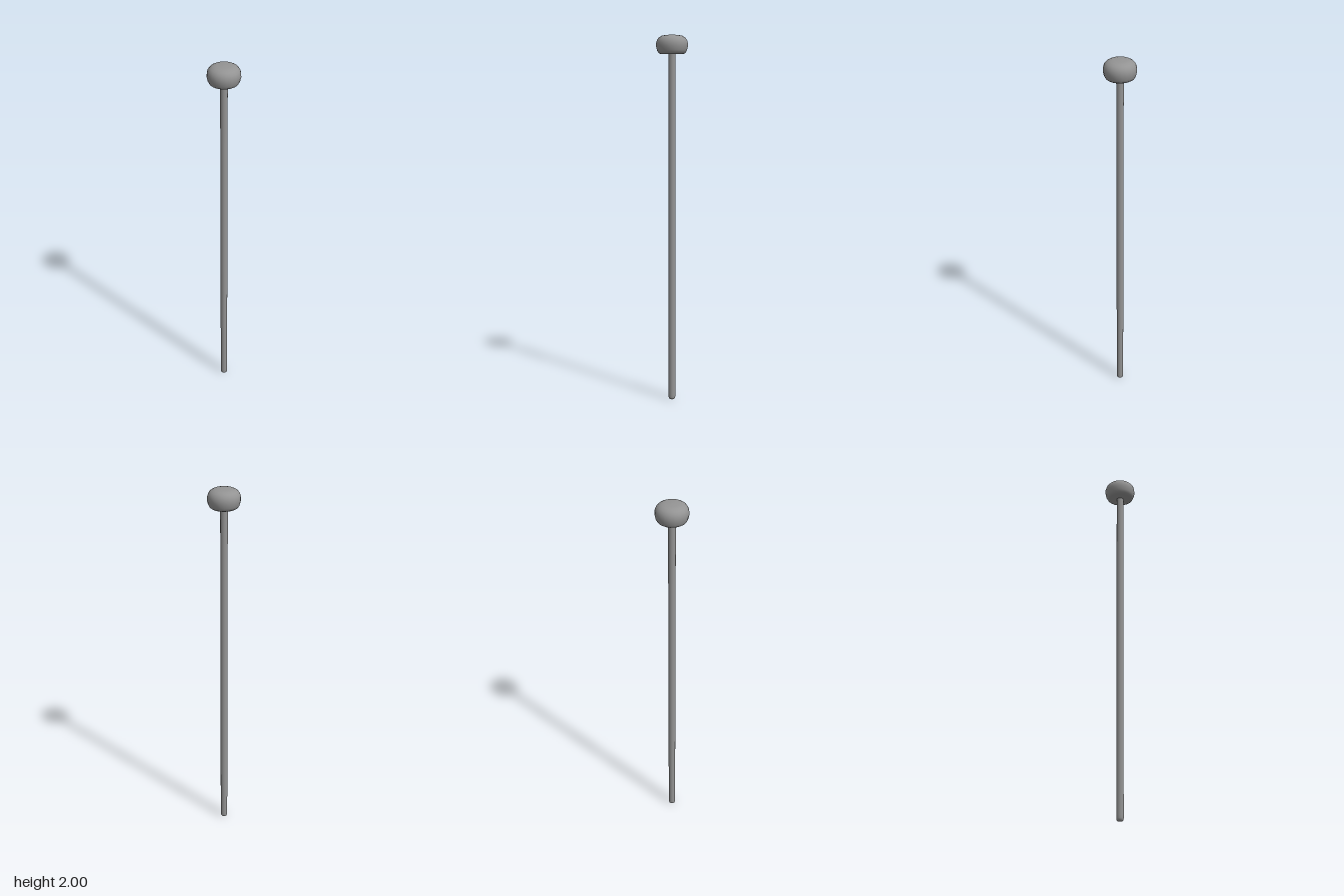
import * as THREE from 'three';

const material = new THREE.MeshStandardMaterial({ color: 0x949494 });

// Revolve a list of [radius, height] points around the y axis
function lathe(name, points, sides) {
  const profile = points.map(([r, y]) => new THREE.Vector2(r, y));
  const mesh = new THREE.Mesh(new THREE.LatheGeometry(profile, sides), material);
  mesh.name = name;
  return mesh;
}

export function createModel() {
  const group = new THREE.Group();
  group.name = 'pin';

  // Long thin shaft with a softened lower tip, running up into the head
  group.add(lathe('shaft', [
    [0, 0], [0.013, 0.001], [0.017, 0.005], [0.019, 0.013], [0.019, 0.03], [0.019, 1.93],
  ], 16));

  // Flattened head: flat underside, softened lower rim, domed top
  group.add(lathe('head', [
    [0, 1.9], [0.05, 1.9], [0.064, 1.901], [0.073, 1.907], [0.08, 1.92], [0.085, 1.942],
    [0.084, 1.96], [0.079, 1.975], [0.069, 1.987], [0.054, 1.995], [0.035, 1.999], [0, 2],
  ], 20));

  return group;
}
